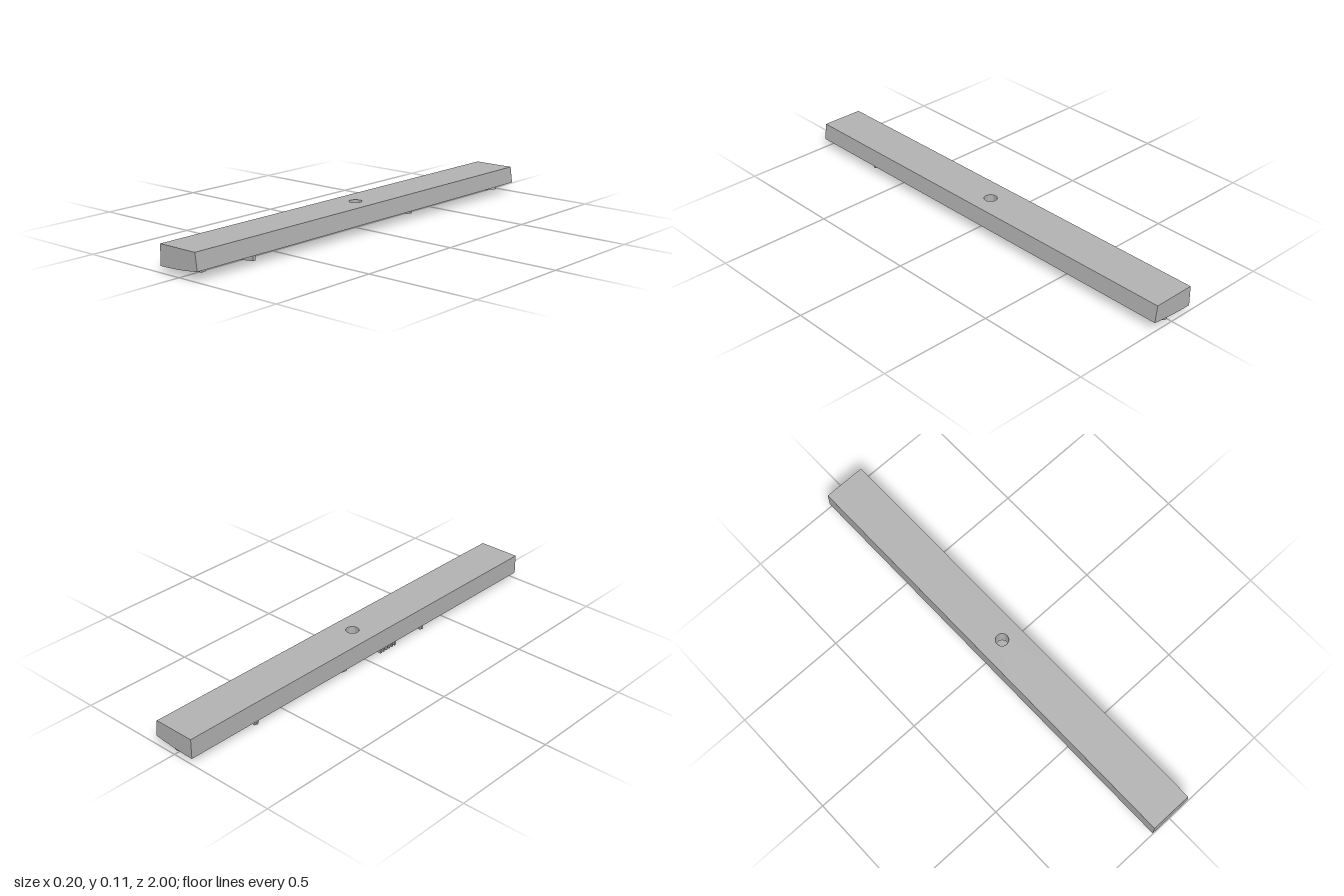
import * as THREE from 'three';
import { toCreasedNormals } from 'three/addons/utils/BufferGeometryUtils.js';

const TOP = 0.115, RIB_H = 0.027;
// gently bowed underside, rising towards +x
const under = (x) => 0.028 + 0.014 * ((x + 0.1) / 0.2) ** 2;

// Join cross-section rings (arrays of [x, y, z]) into one surface
function loft(rings, closed) {
  const pos = [];
  const tri = (a, b, c) => pos.push(...a, ...b, ...c);
  const n = rings.length, m = rings[0].length;
  for (let i = 0; i < (closed ? n : n - 1); i++) {
    const r = rings[i], s = rings[(i + 1) % n];
    for (let j = 0; j < m; j++) {
      const k = (j + 1) % m;
      tri(r[j], r[k], s[k]);
      tri(r[j], s[k], s[j]);
    }
  }
  if (!closed) {
    const a = rings[0], b = rings[n - 1];
    for (let j = 1; j < m - 1; j++) {
      tri(a[0], a[j + 1], a[j]);
      tri(b[0], b[j], b[j + 1]);
    }
  }
  const g = new THREE.BufferGeometry();
  g.setAttribute('position', new THREE.Float32BufferAttribute(pos, 3));
  return toCreasedNormals(g, 0.5);
}

// Long bar with a sloping +x side and a round hole through its middle
function barGeometry() {
  const edge = [], N = 12, R = 0.028;
  for (let side = 0; side < 4; side++) {
    for (let i = 0; i < N; i++) {
      const u = -1 + (2 * i) / N;
      edge.push([[1, u], [-u, 1], [-1, -u], [u, -1]][side]);
    }
  }
  const rings = edge.map(([u, v]) => {
    const l = Math.hypot(u, v), hx = (R * u) / l, hz = (R * v) / l;
    const ring = [];
    for (let s = 0; s <= 6; s++) {
      const t = s / 6, x = hx + (u * 0.1 - hx) * t;
      ring.push([x, under(x), hz + (v - hz) * t]);
    }
    ring.push([-0.005 + u * 0.095, TOP, v], [hx, TOP, hz]);
    return ring;
  });
  return loft(rings, true);
}

// Raised rib following a path of [x, z] points below the bar
function ribGeometry(path, width, closed = false) {
  const n = path.length;
  const rings = path.map(([x, z], i) => {
    const a = path[closed ? (i + n - 1) % n : Math.max(i - 1, 0)];
    const b = path[closed ? (i + 1) % n : Math.min(i + 1, n - 1)];
    const l = Math.hypot(b[0] - a[0], b[1] - a[1]);
    const ox = ((b[1] - a[1]) / l) * width / 2, oz = (-(b[0] - a[0]) / l) * width / 2;
    const at = (s, low) => {
      const px = x + s * ox;
      return [px, under(px) + (low ? -RIB_H : 0.004), z + s * oz];
    };
    return [at(-1, true), at(1, true), at(1, false), at(-1, false)];
  });
  return loft(rings, closed);
}

// Arc points about (cx, cz); angles in degrees, 0 = +x, 90 = +z
function arc(cx, cz, r, from, to, steps = 20) {
  const pts = [];
  for (let i = 0; i <= steps; i++) {
    const a = THREE.MathUtils.degToRad(from + ((to - from) * i) / steps);
    pts.push([cx + r * Math.cos(a), cz + r * Math.sin(a)]);
  }
  return pts;
}

export function createModel() {
  const group = new THREE.Group();
  const grey = new THREE.MeshStandardMaterial({ color: 0xb4b4b4 });
  grey.name = 'grey';
  const add = (name, geometry) => {
    const mesh = new THREE.Mesh(geometry, grey);
    mesh.name = name;
    group.add(mesh);
  };
  const rib = (name, path, width, closed) => add(name, ribGeometry(path, width, closed));

  add('bar', barGeometry());

  // hooked arch near the back end, opening towards -x +z
  rib('archRib', [[-0.022, -0.945], ...arc(0.012, -0.957, 0.018, -135, 45, 14), [0.005, -0.92]], 0.011);

  // two matching ring-and-arm clusters
  for (const z of [-0.636, 0.364]) {
    rib('clusterRing', arc(-0.022, z, 0.019, 0, 342, 19), 0.01, true);
    const arm = new THREE.CatmullRomCurve3([
      [-0.028, 0.1], [-0.048, 0.075], [-0.05, 0.035], [-0.062, 0.01], [-0.085, -0.012],
    ].map(([x, dz]) => new THREE.Vector3(x, 0, z + dz)));
    rib('clusterArm', arm.getPoints(16).map((p) => [p.x, p.z]), 0.012);
    rib('clusterTip', [[-0.058, z - 0.012], [-0.085, z - 0.012]], 0.02);
    rib('clusterFoot', [[-0.02, z + 0.09], [-0.045, z + 0.09]], 0.02);
  }

  // straight cross ribs
  rib('shortCrossRib', [[-0.035, -0.325], [0, -0.325], [0.037, -0.325]], 0.012);
  rib('longCrossRib', [[-0.065, 0.678], [0, 0.678], [0.073, 0.678]], 0.012);

  // open ring behind the hole
  rib('openRing', arc(-0.04, -0.125, 0.03, 165, 465, 28), 0.014);

  // small ring, comb and end block in front of the hole
  rib('smallRing', arc(-0.043, 0.048, 0.015, 0, 342, 19), 0.009, true);
  rib('combSpine', [[-0.062, 0.075], [-0.062, 0.2]], 0.01);
  for (let i = 0; i < 6; i++) {
    const z = 0.082 + i * 0.018;
    rib('combTooth', [[-0.09, z], [-0.03, z]], 0.008);
  }
  rib('combEnd', [[-0.045, 0.195], [-0.06, 0.23]], 0.012);

  // pair of posts near the front end
  for (const x of [-0.02, 0.018]) rib('post', [[x - 0.009, 0.9], [x + 0.009, 0.9]], 0.02);

  return group;
}
